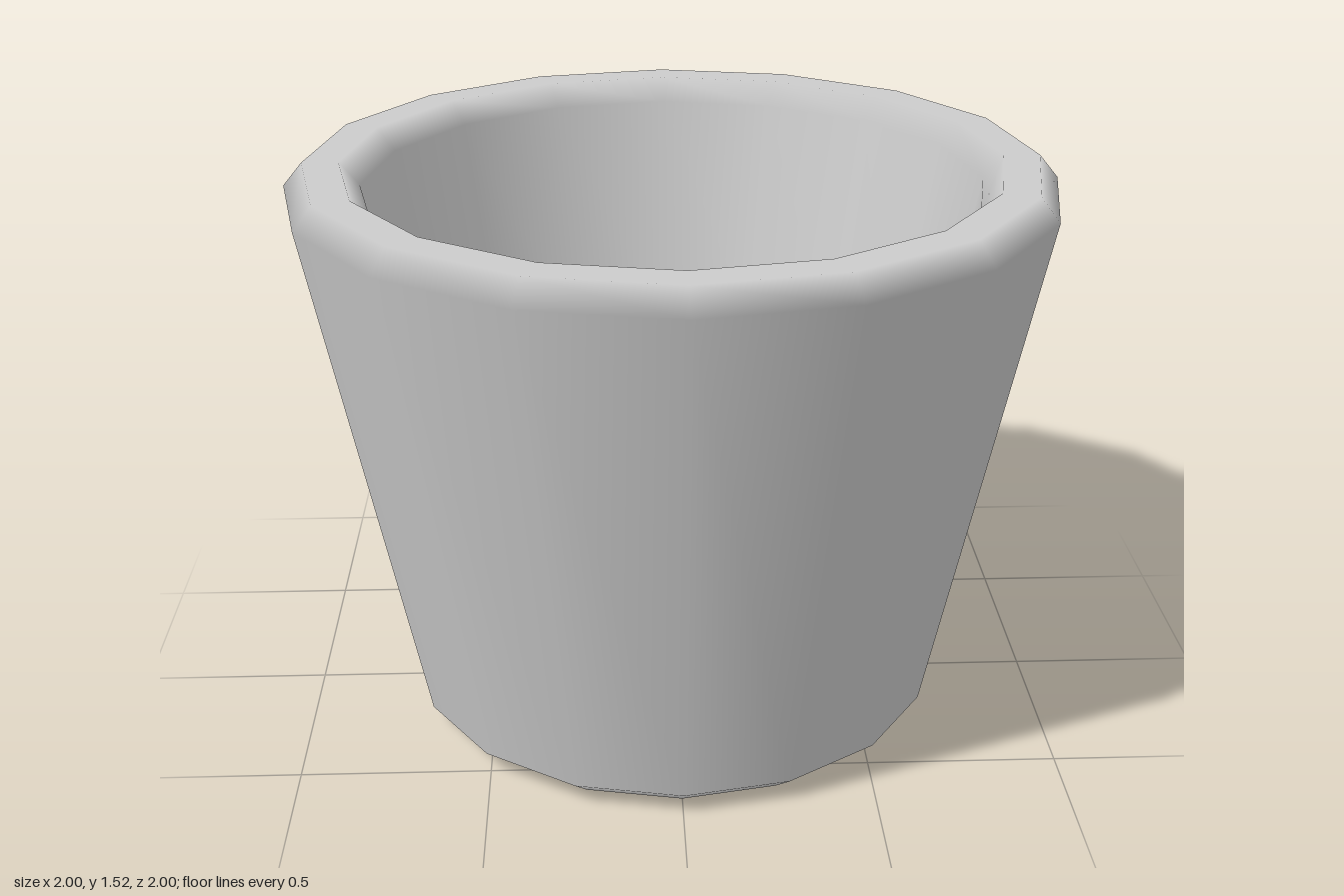
import * as THREE from 'three';

const SIDES = 16;

// Profile rows: radius, height, normal outwards, normal upwards.
// Flat bands share one normal, so only the narrow bevels blend.
const PROFILE = [
  [0, 0, 0, -1],
  [0.645, 0, 0, -1],
  [0.72, 0.06, 0.98, -0.2],
  [1, 1.46, 0.98, -0.2],
  [0.95, 1.52, 0, 1],
  [0.855, 1.52, 0, 1],
  [0.805, 1.46, -0.98, 0.2],
  [0.68, 0.81, -0.98, 0.2],
];

function potGeometry() {
  const points = PROFILE.map(([r, y]) => new THREE.Vector2(r, y));
  const geometry = new THREE.LatheGeometry(points, SIDES);
  const normal = geometry.attributes.normal;
  for (let i = 0; i <= SIDES; i++) {
    const angle = (i / SIDES) * Math.PI * 2;
    PROFILE.forEach(([, , out, up], j) => {
      normal.setXYZ(i * PROFILE.length + j, out * Math.sin(angle), up, out * Math.cos(angle));
    });
  }
  return geometry;
}

export function createModel() {
  const model = new THREE.Group();
  model.name = 'plantPot';

  // Tapered wall with bevelled foot and rim
  const pot = new THREE.Mesh(potGeometry(), new THREE.MeshStandardMaterial({ color: 0xcccccc }));
  pot.name = 'pot';
  model.add(pot);

  // Dark soil closing the inside
  const soil = new THREE.Mesh(
    new THREE.CircleGeometry(0.68, SIDES).rotateX(-Math.PI / 2),
    new THREE.MeshStandardMaterial({ color: 0x030303 })
  );
  soil.name = 'soil';
  soil.position.y = 0.81;
  model.add(soil);

  return model;
}
